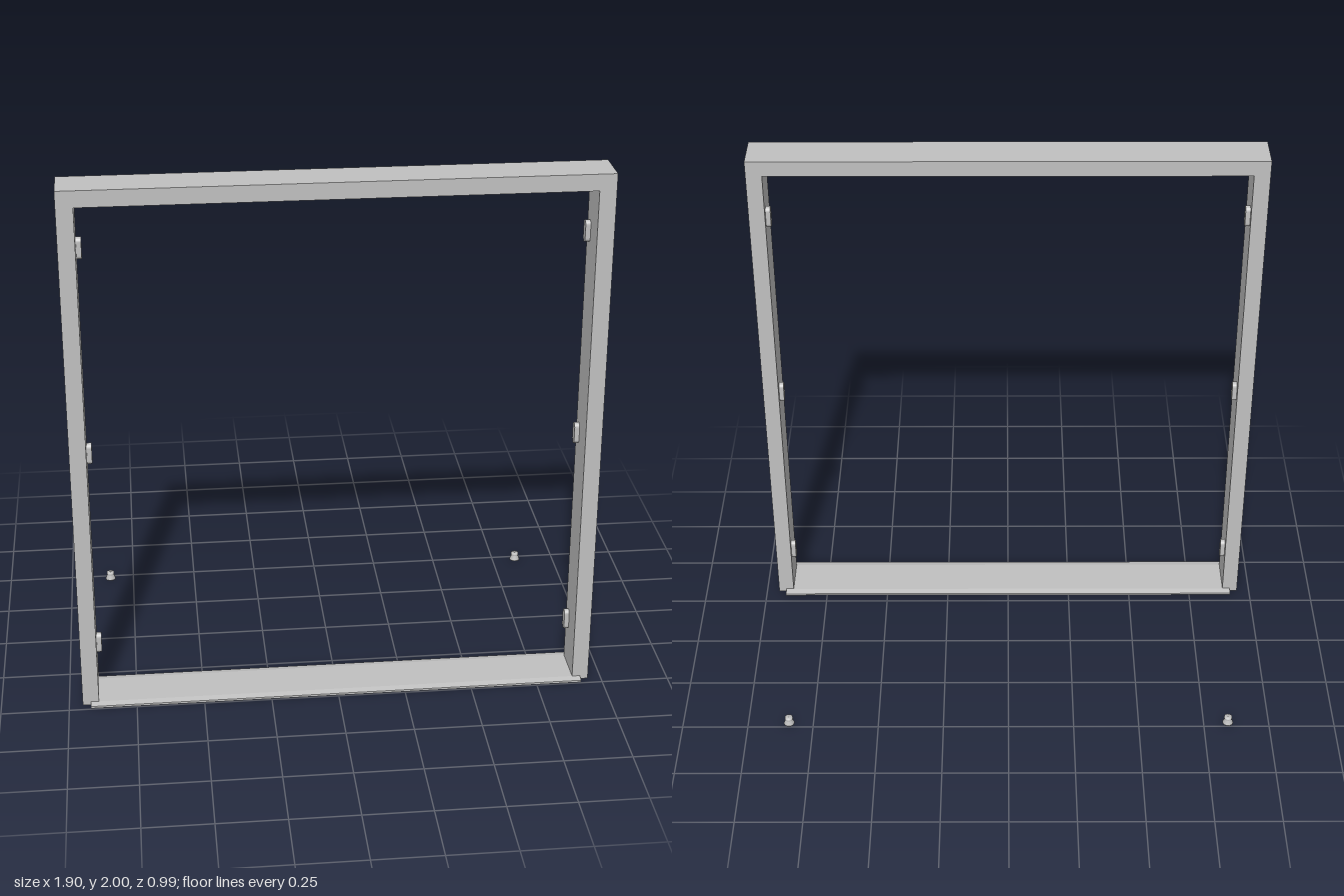
import * as THREE from 'three';

export function createModel() {
  const group = new THREE.Group();
  const grey = new THREE.MeshStandardMaterial({ color: 0xc0c0c0 });
  grey.name = 'plain grey';

  const add = (name, geometry, x = 0, y = 0, z = 0) => {
    const mesh = new THREE.Mesh(geometry, grey);
    mesh.name = name;
    mesh.position.set(x, y, z);
    group.add(mesh);
    return mesh;
  };

  // Door frame: two jambs and a lintel extruded as one piece
  const W = 0.95, H = 2, T = 0.06, back = 0.315, front = 0.47;
  const outline = new THREE.Shape([
    [-W, 0], [-W + T, 0], [-W + T, H - T], [W - T, H - T],
    [W - T, 0], [W, 0], [W, H], [-W, H],
  ].map(([x, y]) => new THREE.Vector2(x, y)));
  add('doorFrame', new THREE.ExtrudeGeometry(outline, { depth: front - back, bevelEnabled: false }), 0, 0, back);

  // Threshold: thin sill with sloped front and back edges
  const sill = new THREE.Shape([
    [-0.495, 0], [-0.287, 0], [-0.287, 0.008], [-0.312, 0.013], [-0.47, 0.013], [-0.495, 0.008],
  ].map(([x, y]) => new THREE.Vector2(x, y)));
  const sillGeometry = new THREE.ExtrudeGeometry(sill, { depth: 1.84, bevelEnabled: false });
  sillGeometry.translate(0, 0, -0.92).rotateY(Math.PI / 2);
  add('threshold', sillGeometry);

  // Hinge plates: upright rounded slots on the inside of each jamb
  const r = 0.016, h = 0.04;
  const slot = new THREE.Shape();
  slot.absarc(0, h - r, r, 0, Math.PI);
  slot.absarc(0, r - h, r, Math.PI, Math.PI * 2);
  const plate = new THREE.ExtrudeGeometry(slot, { depth: 0.02, bevelEnabled: false, curveSegments: 8 });
  plate.translate(0, 0, -0.01).rotateY(Math.PI / 2);

  // Floor stops: tapered foot with a small head
  const stop = new THREE.LatheGeometry([
    [0, 0], [0.02, 0], [0.02, 0.003], [0.013, 0.02], [0.015, 0.022], [0.015, 0.031], [0, 0.031],
  ].map(([x, y]) => new THREE.Vector2(x, y)), 20);

  for (const side of [-1, 1]) {
    const label = side > 0 ? 'left' : 'right';
    for (const y of [0.197, 0.977, 1.756]) add(label + 'Hinge', plate, side * 0.882, y, 0.352);
    add(label + 'FloorStop', stop, side * 0.843, 0, -0.478);
  }
  return group;
}
